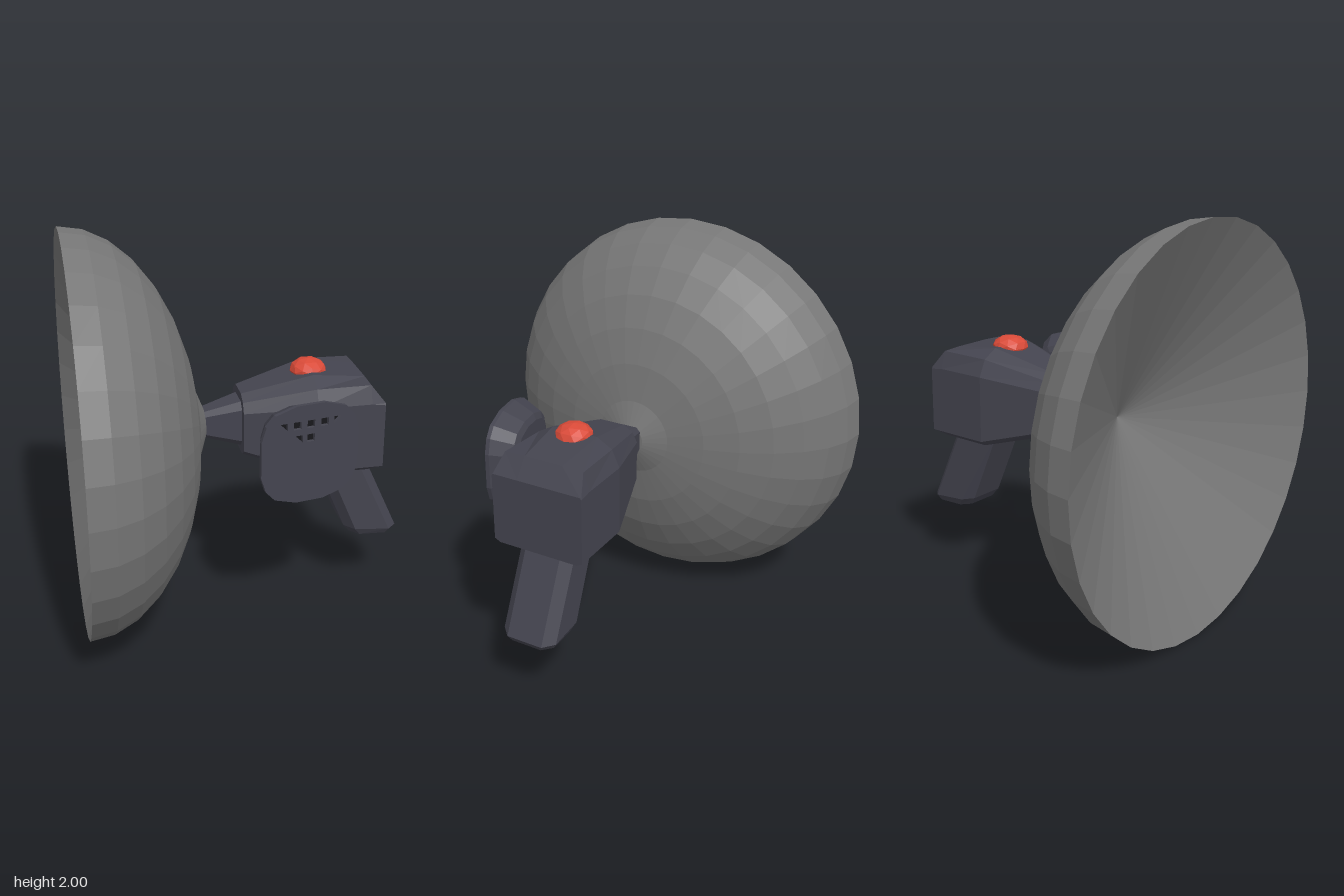
import * as THREE from 'three';

const paint = (color) => new THREE.MeshStandardMaterial({ color, flatShading: true });
const dark = paint(0x44444f);
const black = paint(0x17171b);
const dishGrey = paint(0x777777);
const lightGrey = paint(0xaaaaaa);
const red = paint(0xd94a38);

// Skin between rings of [x, y, z] points, with both ends capped
function loft(rings) {
  const n = rings[0].length;
  const pos = [];
  const tri = (a, b, c) => pos.push(...a, ...b, ...c);
  for (let i = 0; i < rings.length - 1; i++) {
    for (let j = 0; j < n; j++) {
      const k = (j + 1) % n, a = rings[i], b = rings[i + 1];
      tri(a[j], a[k], b[k]);
      tri(a[j], b[k], b[j]);
    }
  }
  const first = rings[0], last = rings[rings.length - 1];
  for (let j = 1; j < n - 1; j++) {
    tri(first[0], first[j + 1], first[j]);
    tri(last[0], last[j], last[j + 1]);
  }
  // Turn the faces outward when the rings run the other way
  let volume = 0;
  const p = [0, 1, 2].map(() => new THREE.Vector3());
  for (let i = 0; i < pos.length; i += 9) {
    p.forEach((v, k) => v.fromArray(pos, i + k * 3));
    volume += p[0].dot(p[1].clone().cross(p[2]));
  }
  if (volume < 0) {
    for (let i = 0; i < pos.length; i += 9) {
      for (let k = 0; k < 3; k++) [pos[i + k], pos[i + 3 + k]] = [pos[i + 3 + k], pos[i + k]];
    }
  }
  const g = new THREE.BufferGeometry();
  g.setAttribute('position', new THREE.Float32BufferAttribute(pos, 3));
  g.computeVertexNormals();
  return g;
}

// Rectangle with cut corners
function cutRect(u0, u1, v0, v1, c) {
  return [[u0 + c, v0], [u1 - c, v0], [u1, v0 + c], [u1, v1 - c],
    [u1 - c, v1], [u0 + c, v1], [u0, v1 - c], [u0, v0 + c]];
}

function add(parent, name, geometry, material) {
  const mesh = new THREE.Mesh(geometry, material);
  mesh.name = name;
  parent.add(mesh);
  return mesh;
}

// Side panel: pierced face plate on a tapered housing
function buildPanel() {
  const panel = new THREE.Group();
  panel.name = 'sidePanel';
  const quarter = [[0.25, 0.09], [0.226, 0.165], [0.18, 0.215], [0.07, 0.248]];
  const flip = (sx, sy) => quarter.map(([x, y]) => [x * sx, y * sy]);
  const outline = [...flip(1, 1), ...flip(-1, 1).reverse(), ...flip(-1, -1), ...flip(1, -1).reverse()];
  const ring = (s, z) => outline.map(([x, y]) => [x * s, y * s, z]);

  const face = new THREE.Shape(outline.map((p) => new THREE.Vector2(...p)));
  const h = 0.019;
  const hole = (x, y, pts) => face.holes.push(
    new THREE.Path(pts.map(([u, v]) => new THREE.Vector2(x + u * h, y + v * h))));
  const square = [[-1, -1], [-1, 1], [1, 1], [1, -1]];
  const leftTri = [[-1, 1], [1, 1], [1, -1]];
  const rightTri = [[-1, 1], [1, 1], [-1, -1]];
  for (const x of [-0.07, 0, 0.07]) hole(x, 0.15, square);
  hole(-0.137, 0.15, leftTri);
  hole(0.137, 0.15, rightTri);
  hole(-0.06, 0.08, leftTri);
  hole(0, 0.08, square);
  const plate = add(panel, 'panelFace',
    new THREE.ExtrudeGeometry(face, { depth: 0.02, bevelEnabled: false }), dark);
  plate.position.z = -0.02;
  add(panel, 'panelHousing', loft([ring(0.68, -0.14), ring(0.8, -0.125), ring(1, -0.02)]), dark);
  const floor = add(panel, 'holeFloor', new THREE.PlaneGeometry(0.34, 0.14), black);
  floor.position.set(0, 0.115, -0.018);

  panel.position.set(0.25, 1.008, 0.463);
  panel.rotation.y = 0.175;
  return panel;
}

export function createModel() {
  const model = new THREE.Group();
  model.name = 'dishGun';

  // Dish: conical hollow inside, squashed half sphere outside, flaring into the hub
  const profile = [[0, -0.33]];
  for (let i = 0; i <= 7; i++) {
    const a = (i * Math.PI) / 16;
    profile.push([Math.cos(a), -0.83 + 0.62 * Math.sin(a)]);
  }
  profile.push([0.075, -0.175], [0, -0.175]);
  const dish = add(model, 'dish',
    new THREE.LatheGeometry(profile.map((p) => new THREE.Vector2(...p)), 32), dishGrey);
  dish.rotation.z = -Math.PI / 2;
  dish.position.y = 1;

  // Neck between dish and body
  const neckRing = (x, w, y0, y1, c) => cutRect(-w, w, y0, y1, c).map(([z, y]) => [x, y, z]);
  add(model, 'neck', loft([
    neckRing(-0.2, 0.055, 0.945, 1.07, 0.02),
    neckRing(0.01, 0.1, 0.89, 1.13, 0.035),
  ]), dark);

  // Body: half sections as [z, y] from bottom to top, mirrored
  const bodyRing = (x, half) => [
    ...half.map(([z, y]) => [x, y, z]),
    ...half.map(([z, y]) => [x, y, -z]).reverse(),
  ];
  add(model, 'body', loft([
    bodyRing(0, [[0.1, 0.86], [0.14, 0.89], [0.14, 1.09], [0.115, 1.14], [0.065, 1.17]]),
    bodyRing(0.35, [[0.21, 0.765], [0.24, 0.79], [0.24, 1.13], [0.2, 1.215], [0.12, 1.26]]),
    bodyRing(0.62, [[0.21, 0.765], [0.24, 0.79], [0.24, 1.13], [0.21, 1.22], [0.1, 1.225]]),
    bodyRing(0.69, [[0.21, 0.775], [0.24, 0.79], [0.24, 1.12], [0.235, 1.13], [0.1, 1.13]]),
  ]), dark);

  // Raked grip with cut corners and a rounded-off foot
  const gripRing = (y0, y1, x0, x1, w, c) => cutRect(x0, x1, -w, w, c)
    .map(([x, z]) => [x, y0 + ((y1 - y0) * (x - x0)) / (x1 - x0), z]);
  add(model, 'grip', loft([
    gripRing(0.8, 0.8, 0.37, 0.63, 0.145, 0.05),
    gripRing(0.39, 0.365, 0.545, 0.828, 0.145, 0.05),
    gripRing(0.345, 0.335, 0.58, 0.81, 0.125, 0.045),
  ]), dark);

  // Lamp on top
  const lamp = add(model, 'lamp', new THREE.IcosahedronGeometry(0.093, 1), red);
  lamp.scale.y = 0.65;
  lamp.position.set(0.355, 1.247, 0);

  // Strut carrying the side panel
  const strutRing = (z) => cutRect(0.165, 0.29, 0.943, 1.073, 0.015).map(([x, y]) => [x, y, z]);
  add(model, 'panelStrut', loft([strutRing(0.15), strutRing(0.37)]), lightGrey);

  model.add(buildPanel());
  return model;
}
